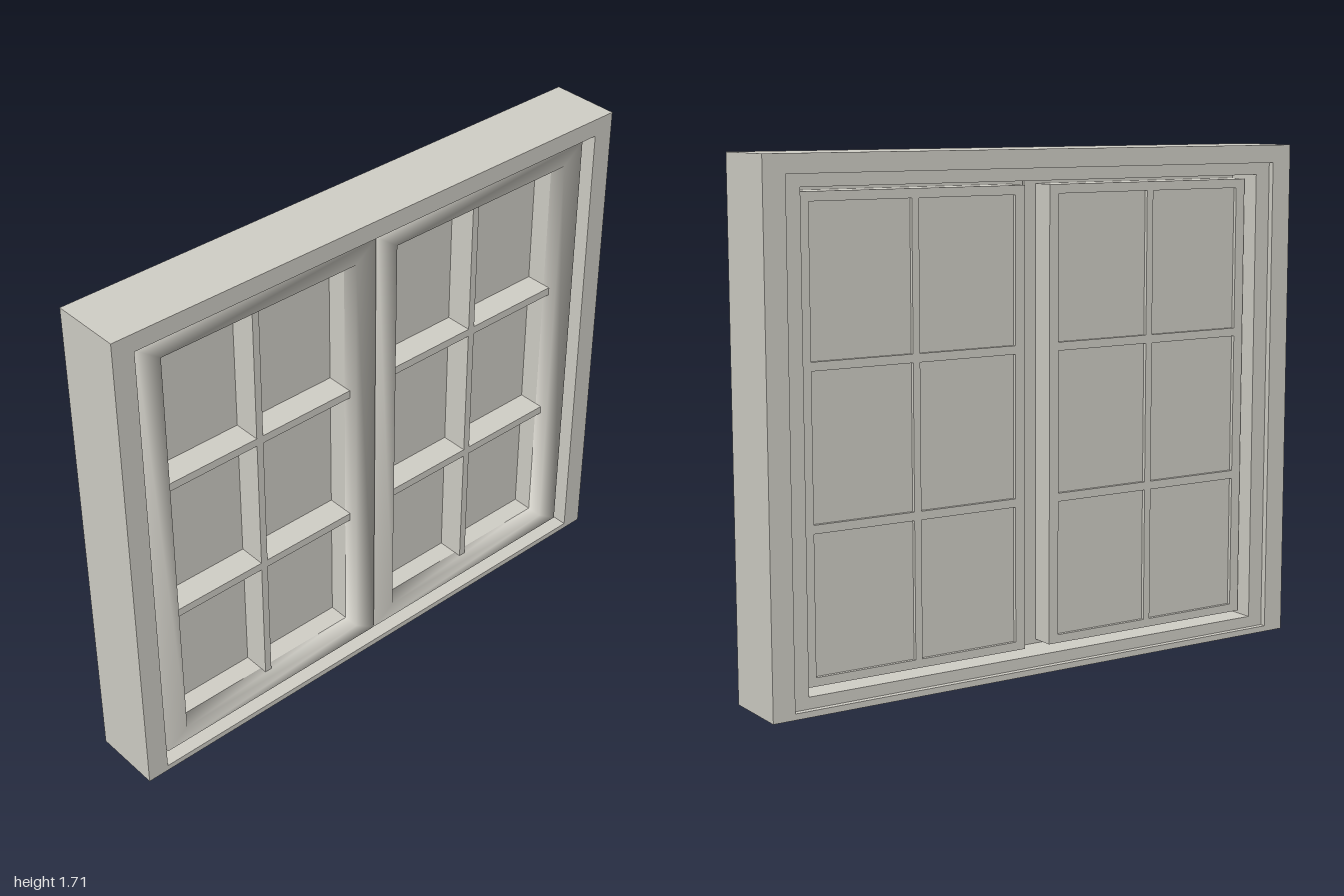
import * as THREE from 'three';

const paint = new THREE.MeshStandardMaterial({ color: 0xd2d0c8 });
paint.name = 'warm grey paint';

// Rectangles are [x0, y0, x1, y1]; corners run counter-clockwise
const corners = ([x0, y0, x1, y1]) => [[x0, y0], [x1, y0], [x1, y1], [x0, y1]];

function add(group, name, geometry) {
  const mesh = new THREE.Mesh(geometry, paint);
  mesh.name = name;
  group.add(mesh);
  return mesh;
}

// Flat-sided rectangular ring between two depths
function ring(outer, inner, z0, z1) {
  const points = (r) => corners(r).map(([x, y]) => new THREE.Vector2(x, y));
  const shape = new THREE.Shape(points(outer));
  shape.holes.push(new THREE.Path(points(inner).reverse()));
  return new THREE.ExtrudeGeometry(shape, { depth: z1 - z0, bevelEnabled: false }).translate(0, 0, z0);
}

// Softly shaded ring: one cross-section swept round four shared corners
function softRing(outer, inner, z0, z1) {
  const section = [[outer, z0], [outer, z1], [inner, z1], [inner, z0]];
  const position = [], index = [];
  for (const [rect, z] of section) {
    for (const [x, y] of corners(rect)) position.push(x, y, z);
  }
  for (let k = 0; k < 3; k++) {
    for (let i = 0; i < 4; i++) {
      const j = (i + 1) % 4;
      const a = k * 4 + i, b = k * 4 + j, c = b + 4, d = a + 4;
      index.push(a, b, c, a, c, d);
    }
  }
  const g = new THREE.BufferGeometry();
  g.setAttribute('position', new THREE.Float32BufferAttribute(position, 3));
  g.setIndex(index);
  g.computeVertexNormals();
  return g;
}

function bar(x0, y0, z0, x1, y1, z1) {
  return new THREE.BoxGeometry(x1 - x0, y1 - y0, z1 - z0)
    .translate((x0 + x1) / 2, (y0 + y1) / 2, (z0 + z1) / 2);
}

// One casement, centred on x = 0
function makeSash(name) {
  const sash = new THREE.Group();
  sash.name = name;
  const opening = [-0.367, 0.1, 0.367, 1.56];
  const flange = [-0.448, 0.045, 0.448, 1.62];

  add(sash, 'sashFlangeBack', ring(flange, opening, 0.027, 0.035));
  add(sash, 'sashFlangeFront', softRing(flange, opening, 0.035, 0.09));
  add(sash, 'sashBody', ring([-0.403, 0.072, 0.403, 1.59], opening, -0.055, 0.027));
  add(sash, 'pane', bar(-0.367, 0.1, -0.043, 0.367, 1.56, -0.035));

  // Glazing bars: one upright and two crossbars in halves
  const half = 0.0125, back = -0.055, front = 0.06;
  add(sash, 'uprightBar', bar(-half, 0.1, back, half, 1.56, front));
  for (const y of [0.565, 1.065]) {
    add(sash, 'crossbarRight', bar(-0.367, y - 0.014, back, -half, y + 0.014, front));
    add(sash, 'crossbarLeft', bar(half, y - 0.014, back, 0.367, y + 0.014, front));
  }
  return sash;
}

export function createModel() {
  const model = new THREE.Group();
  model.name = 'window';

  // Fixed frame: front rim, inner stop and shallow back rim
  const outside = [-1, 0, 1, 1.705];
  const rebate = [-0.925, 0.02, 0.925, 1.645];
  const stop = [-0.868, 0.058, 0.868, 1.605];
  const frame = new THREE.Group();
  frame.name = 'frame';
  add(frame, 'frontRim', ring(outside, rebate, 0.027, 0.12));
  add(frame, 'innerStop', ring(outside, stop, -0.1, 0.027));
  add(frame, 'backRim', ring(outside, rebate, -0.12, -0.1));
  model.add(frame);

  // Pair of casements
  for (const [name, x] of [['rightSash', -0.451], ['leftSash', 0.451]]) {
    const sash = makeSash(name);
    sash.position.x = x;
    model.add(sash);
  }
  return model;
}
